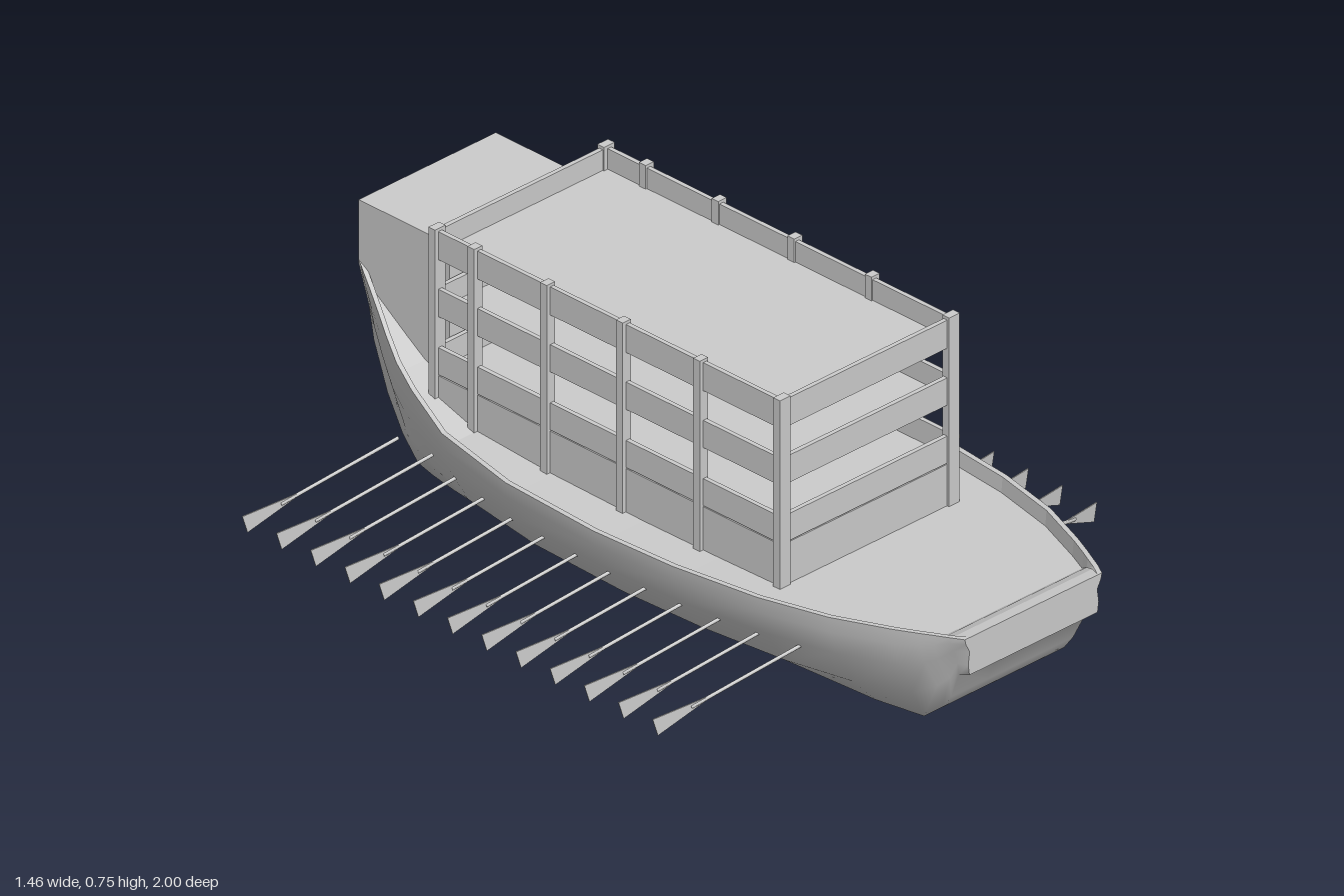
import * as THREE from 'three';

const grey = new THREE.MeshStandardMaterial({ color: 0xcccccc });
const twoSided = new THREE.MeshStandardMaterial({ color: 0xcccccc, side: THREE.DoubleSide });

// Hull stations from bow to stern: z, half width, rim height, keel height, half width of floor, deck drop
const stations = [
  [1.0, 0.225, 0.30, 0.20, 0.21, 0],
  [0.965, 0.245, 0.30, 0.187, 0.21, 0.005],
  [0.93, 0.262, 0.299, 0.11, 0.2, 0.02],
  [0.9, 0.277, 0.298, 0.07, 0.2, 0.04],
  [0.84, 0.305, 0.296, 0.022, 0.2, 0.04],
  [0.69, 0.365, 0.292, 0.01, 0.21, 0.04],
  [0.5, 0.41, 0.287, 0.005, 0.215, 0.04],
  [0.25, 0.44, 0.282, 0.002, 0.22, 0.04],
  [0, 0.45, 0.28, 0, 0.22, 0.04],
  [-0.3, 0.44, 0.285, 0.002, 0.22, 0.04],
  [-0.55, 0.40, 0.30, 0.006, 0.215, 0.04],
  [-0.7, 0.35, 0.336, 0.012, 0.21, 0.03],
  [-0.78, 0.32, 0.365, 0.016, 0.2, 0.03],
  [-0.84, 0.295, 0.405, 0.022, 0.19, 0.03],
  [-0.89, 0.272, 0.44, 0.08, 0.19, 0.03],
  [-0.94, 0.25, 0.475, 0.17, 0.19, 0.03],
  [-0.975, 0.236, 0.5, 0.30, 0.2, 0.02],
  [-1.0, 0.225, 0.515, 0.49, 0.21, 0],
];

// Half section mirrored into a full one, running from +x to -x
function mirrored(half) {
  return [...half, ...half.slice().reverse().map(([x, y]) => [-x, y])];
}

function outerSection([, w, top, keel, floor]) {
  const h = top - keel;
  return mirrored([
    [w, top],
    [w * 0.985, keel + h * 0.85],
    [w * 0.93, keel + h * 0.62],
    [Math.max(w * 0.78, floor * 1.02), keel + h * 0.28],
    [floor, keel],
    [floor * 0.4, keel],
  ]);
}

function innerSection([, w, top, , , drop]) {
  return mirrored([[w, top], [w - 0.014, top], [w - 0.018, top - drop]]).reverse();
}

// Skin joining one cross-section per station
function loft(section) {
  const rows = stations.map(section);
  const n = rows[0].length;
  const positions = [], index = [];
  rows.forEach((row, i) => row.forEach(([x, y]) => positions.push(x, y, stations[i][0])));
  for (let i = 0; i < rows.length - 1; i++) {
    for (let j = 0; j < n - 1; j++) {
      const a = i * n + j, c = a + n;
      index.push(a, a + 1, c, a + 1, c + 1, c);
    }
  }
  const geo = new THREE.BufferGeometry();
  geo.setAttribute('position', new THREE.Float32BufferAttribute(positions, 3));
  geo.setIndex(index);
  geo.computeVertexNormals();
  return geo;
}

function add(parent, name, geo, material = grey) {
  const mesh = new THREE.Mesh(geo, material);
  mesh.name = name;
  parent.add(mesh);
  return mesh;
}

// Box given by its limits on each axis
function box(parent, name, x0, x1, y0, y1, z0, z1) {
  const mesh = add(parent, name, new THREE.BoxGeometry(x1 - x0, y1 - y0, z1 - z0));
  mesh.position.set((x0 + x1) / 2, (y0 + y1) / 2, (z0 + z1) / 2);
  return mesh;
}

function polygon(points) {
  return new THREE.Shape(points.map(([x, y]) => new THREE.Vector2(x, y)));
}

function buildHull() {
  const hull = new THREE.Group();
  hull.name = 'hull';
  add(hull, 'hullSkin', loft(outerSection));
  const deck = loft(innerSection).toNonIndexed();
  deck.computeVertexNormals();
  add(hull, 'deckAndRim', deck);
  // Flat ends
  const bow = add(hull, 'bowEnd', new THREE.ShapeGeometry(polygon(outerSection(stations[0]))));
  bow.position.z = 1;
  const stern = add(hull, 'sternEnd', new THREE.ShapeGeometry(polygon(outerSection(stations.at(-1)))));
  stern.position.z = -1;
  stern.rotation.y = Math.PI;
  return hull;
}

// Stern house: side profile (-z, y) extruded across the boat
function buildSternHouse() {
  const profile = [[0.7, 0.28], [0.86, 0.28], [0.95, 0.36], [1, 0.505], [1, 0.675], [0.7, 0.675]];
  const geo = new THREE.ExtrudeGeometry(polygon(profile), { depth: 0.45, bevelEnabled: false });
  geo.translate(0, 0, -0.225);
  geo.rotateY(Math.PI / 2);
  const house = new THREE.Mesh(geo, grey);
  house.name = 'sternHouse';
  return house;
}

function buildCabin() {
  const cabin = new THREE.Group();
  cabin.name = 'cabin';
  const front = 0.46, back = -0.7;
  const bands = [[0.23, 0.357], [0.36, 0.432], [0.515, 0.588], [0.667, 0.742]];
  for (const s of [-1, 1]) {
    // Corner posts
    for (const z of [front - 0.011, back + 0.011]) {
      const post = box(cabin, 'cornerPost', 0.26, 0.295, 0.23, 0.75, z - 0.011, z + 0.011);
      post.position.x *= s;
    }
    // Side posts
    for (const z of [0.185, -0.07, -0.32, -0.56]) {
      const post = box(cabin, 'sidePost', 0.268, 0.295, 0.23, 0.75, z - 0.011, z + 0.011);
      post.position.x *= s;
    }
    // Side rails
    for (const [y0, y1] of bands) {
      const rail = box(cabin, 'sideRail', 0.272, 0.284, y0, y1, back + 0.02, front - 0.02);
      rail.position.x *= s;
    }
  }
  // End rails
  for (const [y0, y1] of bands) {
    box(cabin, 'frontRail', -0.262, 0.262, y0, y1, front - 0.018, front - 0.006);
    box(cabin, 'backRail', -0.262, 0.262, y0, y1, back + 0.006, back + 0.018);
  }
  // Floors and roof
  for (const y of [0.36, 0.52, 0.675]) {
    box(cabin, y > 0.6 ? 'roof' : 'floor', -0.274, 0.274, y, y + 0.012, back + 0.016, front - 0.016);
  }
  return cabin;
}

function buildOars() {
  const oars = new THREE.Group();
  oars.name = 'oars';
  const length = 0.425;
  const shaft = new THREE.CylinderGeometry(0.0045, 0.0045, length - 0.1, 6);
  shaft.rotateZ(-Math.PI / 2);
  shaft.translate((length - 0.1) / 2, 0, 0);
  const blade = new THREE.ExtrudeGeometry(
    polygon([[length - 0.15, -0.003], [length, -0.024], [length, 0.024], [length - 0.15, 0.003]]),
    { depth: 0.003, bevelEnabled: false });
  blade.translate(0, 0, -0.0015);
  for (const s of [1, -1]) {
    const bank = new THREE.Group();
    bank.name = s > 0 ? 'leftOars' : 'rightOars';
    bank.scale.x = s;
    for (let i = 0; i < 13; i++) {
      const oar = new THREE.Group();
      oar.name = 'oar';
      add(oar, 'oarShaft', shaft);
      add(oar, 'oarBlade', blade, twoSided);
      oar.position.set(0.33, 0.175, 0.59 - i * 0.1128);
      oar.rotation.set(0, 0.28, -0.287, 'YXZ');
      bank.add(oar);
    }
    oars.add(bank);
  }
  return oars;
}

export function createModel() {
  const boat = new THREE.Group();
  boat.name = 'rowingShip';
  boat.add(buildHull(), buildSternHouse(), buildCabin(), buildOars());
  return boat;
}
